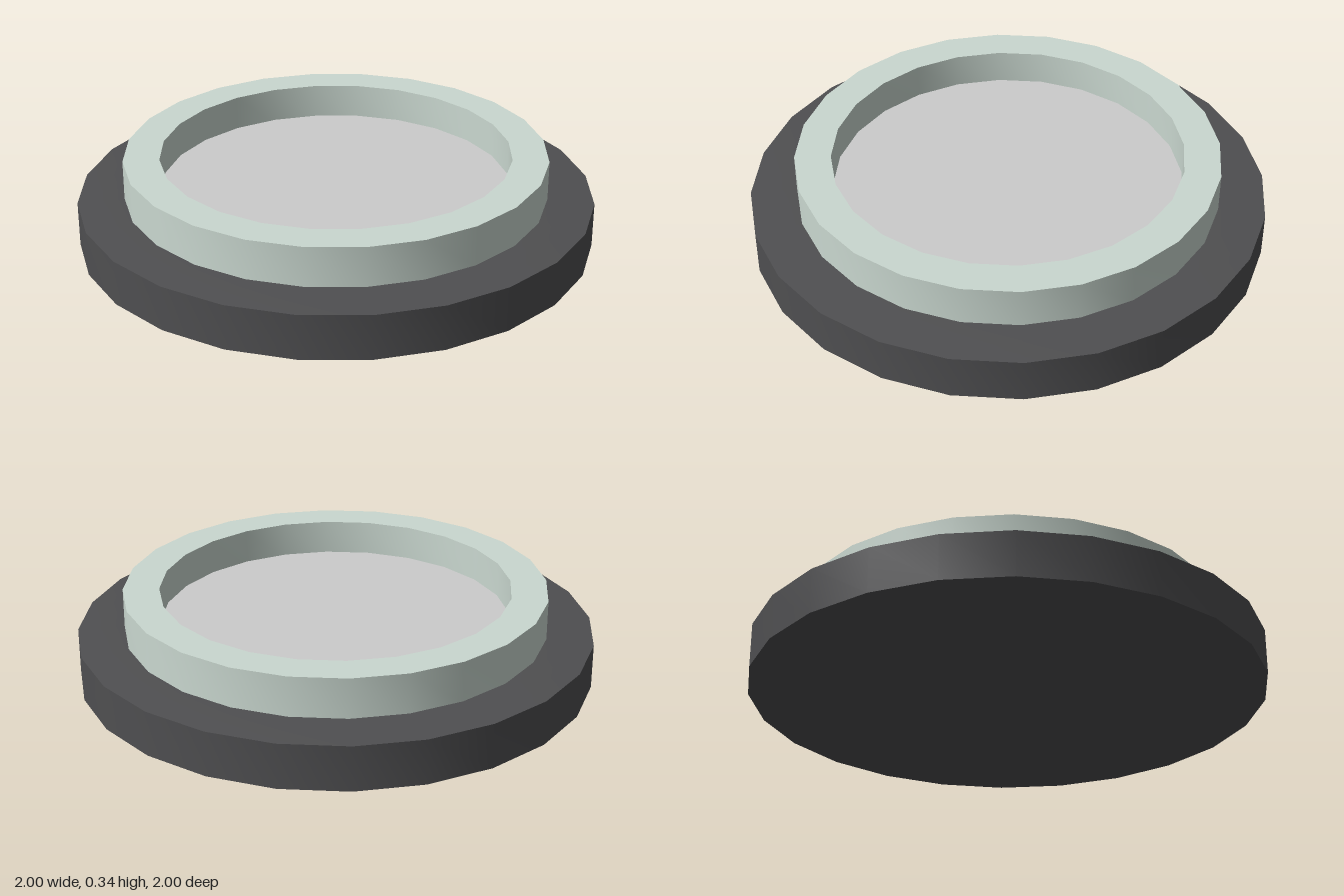
import * as THREE from 'three';
import { toCreasedNormals } from 'three/addons/utils/BufferGeometryUtils.js';

const SIDES = 24;

// Turned part from [radius, height] points, listed bottom outer edge upward
function turned(name, color, profile) {
  const points = profile.map(([r, y]) => new THREE.Vector2(r, y));
  const geometry = toCreasedNormals(new THREE.LatheGeometry(points, SIDES), 0.6);
  const mesh = new THREE.Mesh(geometry, new THREE.MeshStandardMaterial({ color }));
  mesh.name = name;
  return mesh;
}

export function createModel() {
  const model = new THREE.Group();
  model.name = 'roundFixture';

  // Dark plate with a slightly sloped upper face
  model.add(turned('basePlate', 0x4f4f51, [[0, 0], [1, 0], [1, 0.175], [0.82, 0.185], [0.68, 0.185]]));

  // Raised rim with a square section
  model.add(turned('rim', 0xcad8d0, [[0.82, 0.18], [0.82, 0.34], [0.68, 0.34], [0.68, 0.18]]));

  // Flat disc recessed inside the rim
  const disc = new THREE.Mesh(
    new THREE.CircleGeometry(0.68, SIDES).rotateX(-Math.PI / 2),
    new THREE.MeshStandardMaterial({ color: 0xcccccc })
  );
  disc.name = 'recessedDisc';
  disc.position.y = 0.204;
  model.add(disc);

  return model;
}
